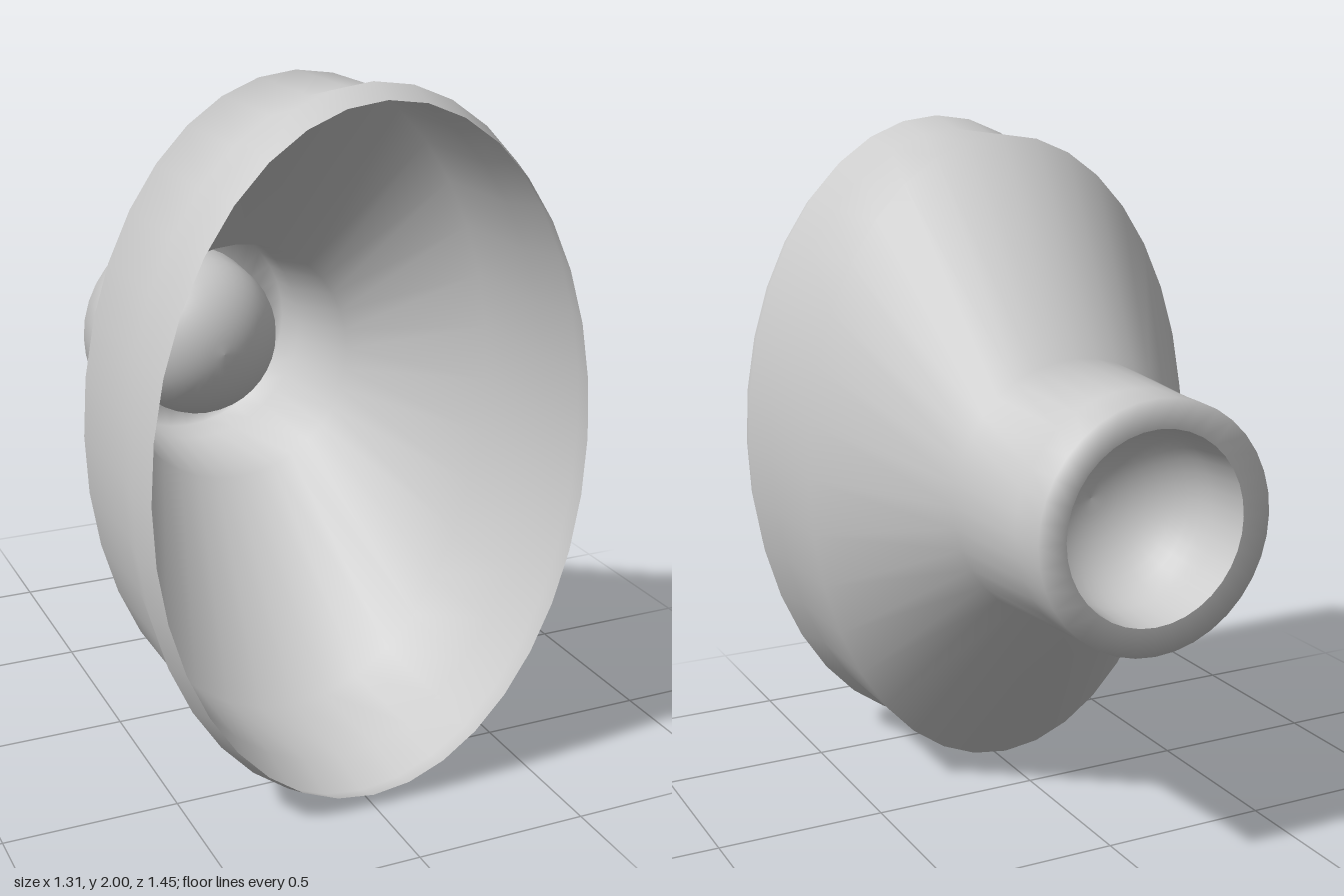
import * as THREE from 'three';

const SEGMENTS = 36;
const CENTRE_Y = 1;

// Smooth skin through elliptical sections [z, halfWidth, halfHeight], front to back
function loft(sections) {
  const positions = [];
  const indices = [];
  sections.forEach(([z, rx, ry], i) => {
    for (let j = 0; j < SEGMENTS; j++) {
      const t = (j / SEGMENTS) * Math.PI * 2;
      positions.push(rx * Math.cos(t), ry * Math.sin(t), z);
      if (i === sections.length - 1) continue;
      const a = i * SEGMENTS + j;
      const b = i * SEGMENTS + ((j + 1) % SEGMENTS);
      indices.push(a, a + SEGMENTS, b, b, a + SEGMENTS, b + SEGMENTS);
    }
  });
  const geometry = new THREE.BufferGeometry();
  geometry.setAttribute('position', new THREE.Float32BufferAttribute(positions, 3));
  geometry.setIndex(indices);
  geometry.computeVertexNormals();
  return geometry;
}

export function createModel() {
  const group = new THREE.Group();
  const material = new THREE.MeshStandardMaterial({ color: 0xcccccc, side: THREE.DoubleSide });

  // Open oval bell with a flared rim, narrowing to a round neck and rear lip
  const bell = new THREE.Mesh(loft([
    [0.725, 0.633, 0.966],
    [0.64, 0.655, 1.0],
    [0.5, 0.632, 0.966],
    [0.17, 0.632, 0.966],
    [-0.275, 0.378, 0.378],
    [-0.6, 0.355, 0.355],
    [-0.725, 0.352, 0.352],
    [-0.725, 0.27, 0.27],
  ]), material);
  bell.name = 'bell';
  bell.position.y = CENTRE_Y;
  group.add(bell);

  // Domed cup sunk into the rear opening
  const profile = [new THREE.Vector2(0.27, -0.725)];
  const steps = 10;
  for (let i = 0; i <= steps; i++) {
    const t = (i / steps) * Math.PI / 2;
    profile.push(new THREE.Vector2(0.262 * Math.cos(t), -0.62 + 0.25 * Math.sin(t)));
  }
  const cup = new THREE.Mesh(new THREE.LatheGeometry(profile, SEGMENTS), material);
  cup.name = 'rearCup';
  cup.rotation.x = Math.PI / 2;
  cup.position.y = CENTRE_Y;
  group.add(cup);

  return group;
}
